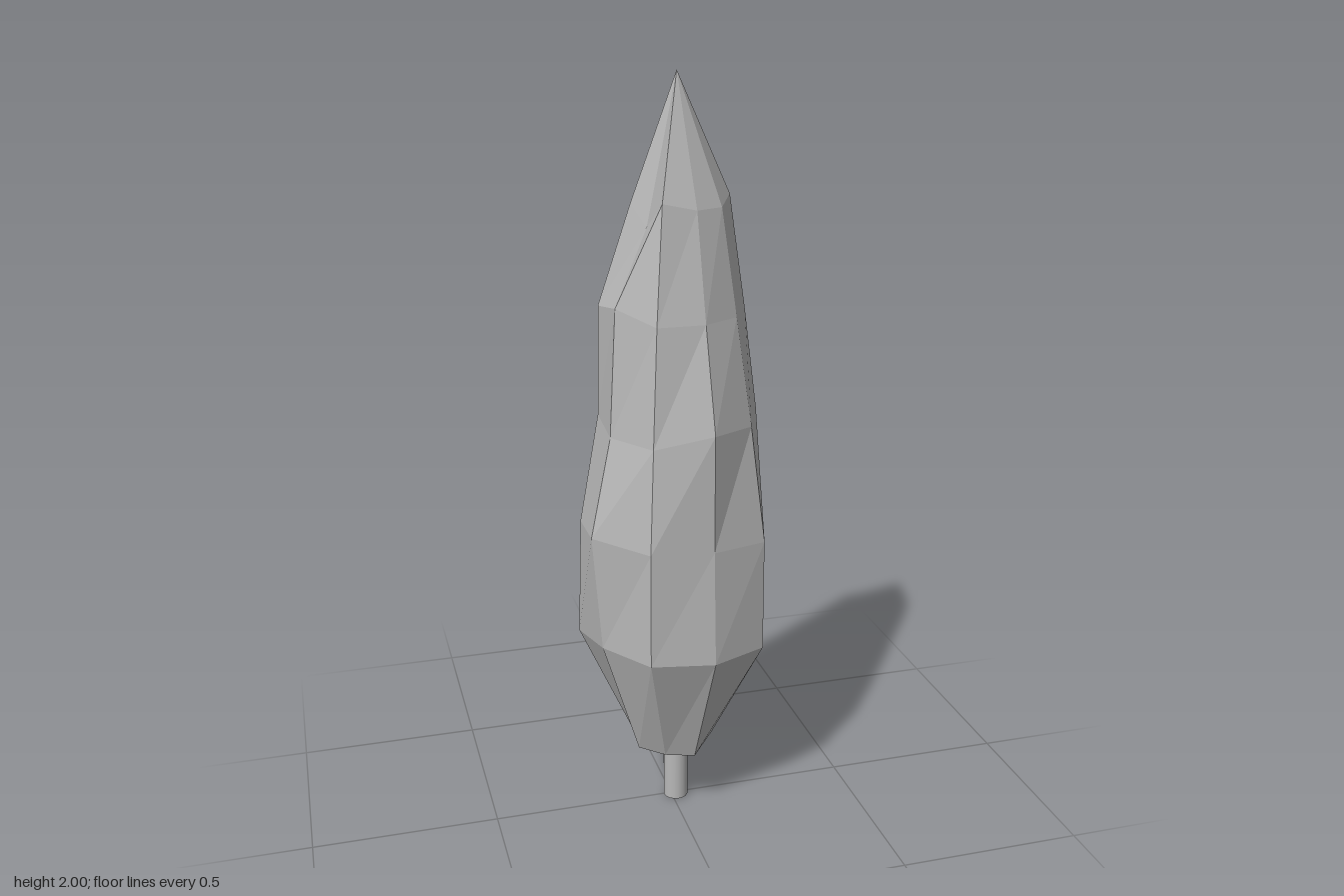
import * as THREE from 'three';

const CX = 0.013, CZ = 0.003; // trunk axis
const SIDES = 9;

// Foliage rings from bottom to top: radius and height at each 40 degree step
const rings = [
  { r: [0.1, 0.11, 0.12, 0.115, 0.125, 0.12, 0.1, 0.115, 0.115],
    y: [0.28, 0.225, 0.185, 0.19, 0.19, 0.2, 0.2, 0.225, 0.21] },
  { r: [0.215, 0.255, 0.24, 0.257, 0.238, 0.267, 0.23, 0.205, 0.24],
    y: [0.546, 0.515, 0.52, 0.53, 0.53, 0.505, 0.54, 0.555, 0.5] },
  { r: [0.217, 0.253, 0.226, 0.255, 0.267, 0.257, 0.274, 0.24, 0.232],
    y: [0.83, 0.82, 0.83, 0.84, 0.85, 0.83, 0.825, 0.82, 0.82] },
  { r: [0.218, 0.21, 0.224, 0.226, 0.205, 0.205, 0.218, 0.203, 0.185],
    y: [1.14, 1.13, 1.14, 1.11, 1.11, 1.13, 1.13, 1.13, 1.11] },
  { r: [0.182, 0.165, 0.167, 0.19, 0.186, 0.2, 0.178, 0.157, 0.178],
    y: [1.41, 1.41, 1.41, 1.41, 1.44, 1.42, 1.4, 1.42, 1.41] },
  { r: [0.138, 0.122, 0.115, 0.137, 0.09, 0.115, 0.137, 0.112, 0.113],
    y: [1.7, 1.68, 1.68, 1.7, 1.63, 1.68, 1.7, 1.69, 1.69] },
];

function ringPoint(ring, k) {
  const i = k % SIDES;
  const a = (i / SIDES) * Math.PI * 2;
  return [CX + ring.r[i] * Math.cos(a), ring.y[i], CZ + ring.r[i] * Math.sin(a)];
}

function foliageGeometry() {
  const tip = [CX, 2, CZ], hollow = [CX, 0.26, CZ];
  const pos = [];
  const tri = (a, b, c) => pos.push(...a, ...b, ...c);
  const top = rings[rings.length - 1];
  for (let k = 0; k < SIDES; k++) {
    // side panels
    for (let j = 0; j < rings.length - 1; j++) {
      const a = ringPoint(rings[j], k), b = ringPoint(rings[j], k + 1);
      const c = ringPoint(rings[j + 1], k), d = ringPoint(rings[j + 1], k + 1);
      tri(a, c, b);
      tri(b, c, d);
    }
    // pointed tip and underside
    tri(ringPoint(top, k), tip, ringPoint(top, k + 1));
    tri(ringPoint(rings[0], k), ringPoint(rings[0], k + 1), hollow);
  }
  const g = new THREE.BufferGeometry();
  g.setAttribute('position', new THREE.Float32BufferAttribute(pos, 3));
  g.computeVertexNormals(); // unshared corners give flat facets
  return g;
}

export function createModel() {
  const model = new THREE.Group();
  model.name = 'cypressTree';
  const grey = new THREE.MeshStandardMaterial({ color: 0xb8b8b8 });
  grey.name = 'plain grey';

  const foliage = new THREE.Mesh(foliageGeometry(), grey);
  foliage.name = 'foliage';
  model.add(foliage);

  const trunk = new THREE.Mesh(new THREE.CylinderGeometry(0.034, 0.034, 0.32, 16), grey);
  trunk.name = 'trunk';
  trunk.position.set(CX, 0.16, CZ);
  model.add(trunk);
  return model;
}
